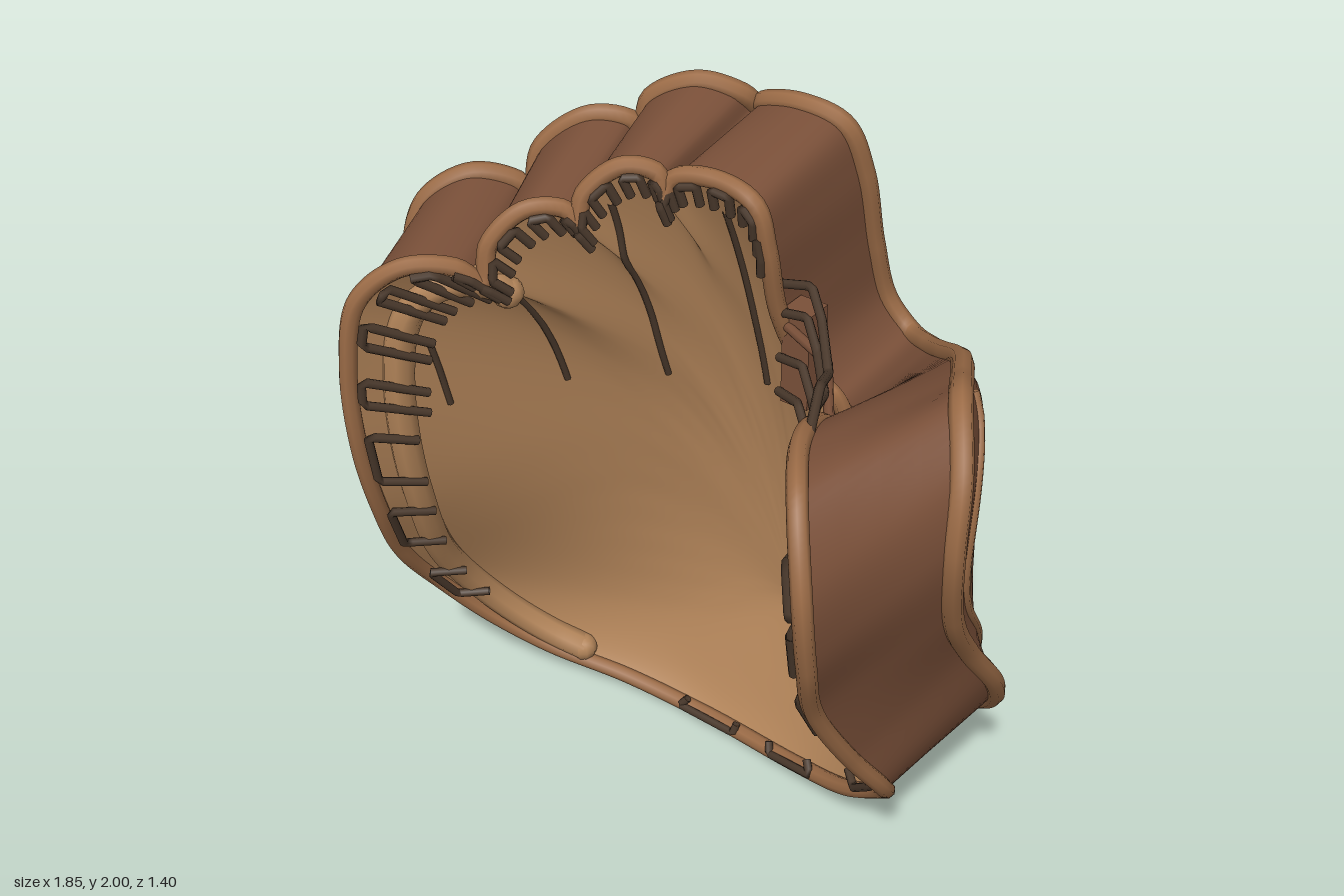
import * as THREE from 'three';

const mat = (color) => new THREE.MeshStandardMaterial({ color, side: THREE.DoubleSide });
const V = (x, y, z) => new THREE.Vector3(x, y, z);
const toCurve = (pts, closed = false) =>
  new THREE.CatmullRomCurve3(pts.map((p) => V(...p)), closed, 'centripetal');

// Matching rim points, clockwise from the heel: little finger, fingertips, crotch, thumb
const PALM_RIM = [
  [-.1, .03, -.13], [-.38, .06, -.1], [-.6, .13, -.01], [-.74, .25, .09], [-.81, .42, .21],
  [-.79, .65, .37], [-.73, .9, .49], [-.7, 1.15, .56], [-.68, 1.4, .58], [-.64, 1.6, .56],
  [-.55, 1.69, .49], [-.46, 1.68, .4], [-.42, 1.63, .35], [-.41, 1.73, .33], [-.35, 1.81, .26],
  [-.28, 1.8, .19], [-.26, 1.76, .18], [-.25, 1.84, .16], [-.18, 1.91, .1], [-.11, 1.89, .05],
  [-.1, 1.83, .05], [-.08, 1.88, .03], [.03, 1.9, .01], [.14, 1.87, .01], [.165, 1.75, -.01],
  [.16, 1.55, -.07], [.18, 1.36, -.16], [.25, 1.27, -.2], [.36, 1.31, -.08], [.45, 1.42, .1],
  [.5, 1.55, .28], [.57, 1.61, .45], [.66, 1.59, .59], [.73, 1.42, .67], [.73, 1.2, .64],
  [.68, .95, .52], [.69, .7, .37], [.71, .5, .23], [.64, .34, .1], [.48, .19, .02], [.25, .08, -.07],
];
const BACK_RIM = [
  [-.1, .03, -.54], [-.4, .08, -.5], [-.65, .17, -.39], [-.81, .33, -.28], [-.89, .52, -.18],
  [-.9, .7, -.08], [-.86, .98, .04], [-.84, 1.25, .13], [-.82, 1.5, .19], [-.78, 1.66, .16],
  [-.69, 1.73, .08], [-.61, 1.7, 0], [-.585, 1.66, -.03], [-.57, 1.78, -.06], [-.47, 1.87, -.13],
  [-.39, 1.86, -.19], [-.37, 1.82, -.22], [-.35, 1.91, -.23], [-.24, 1.97, -.28], [-.15, 1.94, -.34],
  [-.13, 1.89, -.39], [-.1, 1.92, -.37], [.02, 1.95, -.36], [.13, 1.92, -.38], [.165, 1.78, -.43],
  [.165, 1.55, -.5], [.18, 1.36, -.56], [.25, 1.28, -.57], [.36, 1.32, -.48], [.47, 1.4, -.36],
  [.6, 1.51, -.2], [.7, 1.59, -.02], [.79, 1.65, .15], [.87, 1.55, .27], [.89, 1.38, .31],
  [.86, 1.13, .23], [.82, .88, .05], [.81, .65, -.13], [.73, .42, -.3], [.58, .25, -.42], [.35, .11, -.51],
];
const N = PALM_RIM.length;
const palmRim = toCurve(PALM_RIM, true);
const backRim = toCurve(BACK_RIM, true);
const rimAt = (curve, u) => curve.getPoint((((u % N) + N) % N) / N);

// Rim averaged over its neighbours, so finger scallops fade towards the middle
function softRim(curve, u, t, spread) {
  const sum = V(0, 0, 0);
  for (let k = -2; k <= 2; k++) sum.add(rimAt(curve, u + k * spread * (1 - t)));
  return sum.divideScalar(5);
}

// Palm: a bowl spreading from a deep pocket to its rim (u along the rim, t outwards)
const POCKET = V(.08, .45, -.31);
function palmAt(u, t, lift = 0) {
  const r = softRim(palmRim, u, t, 2.4);
  const p = V(
    POCKET.x + (r.x - POCKET.x) * t,
    POCKET.y + (r.y - POCKET.y) * t,
    POCKET.z + (r.z - POCKET.z) * Math.pow(t, 2.4),
  );
  // lift raises the point off the leather, into the bowl
  return p.add(V(-p.x * lift, 0, .7 * lift));
}

// Oval hand opening, wrapped round the curve of the back
const HOLE = V(.01, .4, 0);
function holeAt(a) {
  const tilt = .26, cx = .35 * Math.cos(a - tilt), cy = .185 * Math.sin(a - tilt);
  const x = cx * Math.cos(tilt) - cy * Math.sin(tilt);
  const y = cx * Math.sin(tilt) + cy * Math.cos(tilt);
  return V(HOLE.x + x, HOLE.y + y, -.635 + .95 * x * x - .08 * x - .2 * y);
}

// Back: spreads from the hand opening to its own rim
function backAt(u, t) {
  const r = softRim(backRim, u, t, 2.8);
  const a = Math.atan2(r.y - HOLE.y, r.x - HOLE.x);
  const h = holeAt(a);
  const power = 1.6 + 2.4 * Math.pow(Math.max(0, Math.sin(a)), 6);
  return V(
    h.x + (r.x - h.x) * t,
    h.y + (r.y - h.y) * t,
    h.z + (r.z - h.z) * Math.pow(t, power),
  );
}

// Smooth sheet from a rule giving a point for (u, t)
function sheet(fn, u0, u1, nu, nt) {
  const pos = [], idx = [];
  for (let i = 0; i <= nu; i++) {
    for (let j = 0; j <= nt; j++) {
      pos.push(...fn(u0 + ((u1 - u0) * i) / nu, j / nt).toArray());
      if (i < nu && j < nt) {
        const a = i * (nt + 1) + j, b = a + nt + 1;
        idx.push(a, b, a + 1, b, b + 1, a + 1);
      }
    }
  }
  const g = new THREE.BufferGeometry();
  g.setAttribute('position', new THREE.Float32BufferAttribute(pos, 3));
  g.setIndex(idx);
  g.computeVertexNormals();
  return g;
}

export function createModel() {
  const group = new THREE.Group();
  const leather = mat(0x7a5039), palmLeather = mat(0xb28459), trim = mat(0x9c6c47), laceMat = mat(0x4a392c);

  const add = (name, geometry, material, parent = group) => {
    const m = new THREE.Mesh(geometry, material);
    m.name = name;
    parent.add(m);
    return m;
  };
  const subgroup = (name) => {
    const g = new THREE.Group();
    g.name = name;
    group.add(g);
    return g;
  };
  const tube = (name, curve, r, material, segs, parent, closed = false) =>
    add(name, new THREE.TubeGeometry(curve, segs, r, 8, closed), material, parent);
  // Cord with straight runs between its points
  const cord = (name, pts, r, parent, material = laceMat) =>
    tube(name, new THREE.CatmullRomCurve3(pts, false, 'catmullrom', 0), r, material, (pts.length - 1) * 6, parent);

  // Leather sheets; the side wall leaves the heel open for the wrist
  const palm = add('palm', sheet(palmAt, 0, N, N * 6, 24), palmLeather);
  const back = add('back', sheet(backAt, 0, N, N * 6, 24), leather);
  add('sideWall', sheet((u, t) => rimAt(palmRim, u).lerp(rimAt(backRim, u), t), 1.4, N - 1.2, N * 6, 4), leather);

  // Piping
  tube('backPiping', backRim, .028, trim, 420, group, true);
  tube('palmPiping', palmRim, .024, trim, 420, group, true);
  const ring = [];
  for (let i = 0; i < 32; i++) ring.push(holeAt((i / 32) * Math.PI * 2).toArray());
  tube('handOpeningPiping', toCurve(ring, true), .03, trim, 96, group, true);

  // Drapes a path given in x and y onto a sheet
  const ray = new THREE.Raycaster();
  const drape = (mesh, pts, dir) => {
    const flat = toCurve(pts.map(([x, y]) => [x, y, 0]));
    const out = [];
    for (const p of flat.getSpacedPoints(18)) {
      ray.set(V(p.x, p.y, -3 * dir), V(0, 0, dir));
      const hit = ray.intersectObject(mesh)[0];
      if (hit) out.push(hit.point.toArray());
    }
    return toCurve(out);
  };

  // Padded rolls just inside the palm rim
  const roll = (name, curve, r) => {
    tube(name, curve, r, palmLeather, 90);
    [0, 1].forEach((k) =>
      add(name + 'End', new THREE.SphereGeometry(r, 10, 8), palmLeather).position.copy(curve.getPoint(k)));
  };
  const rollPath = [];
  for (let i = 0; i <= 20; i++) rollPath.push(palmAt(1.8 + i * .485, .94, .01).toArray());
  roll('littleFingerRoll', toCurve(rollPath), .042);
  roll('thumbRoll', drape(palm, [[.54, 1.54], [.565, 1.3], [.55, 1], [.57, .7], [.59, .44]], -1), .048);

  // Raised welts on the finger backs and the thumb: top x, top y, bottom x, bottom y
  const welts = subgroup('welts');
  [
    [.1, 1.8, .2, .78], [-.06, 1.84, .03, .72], [-.2, 1.86, -.12, .7], [-.33, 1.82, -.27, .7],
    [-.45, 1.76, -.4, .72], [-.57, 1.62, -.52, .74], [-.67, 1.62, -.64, .78], [-.77, 1.5, -.77, .82],
  ].forEach(([x0, y0, x1, y1]) =>
    tube('fingerWelt', drape(back, [[x0, y0], [(x0 + x1) / 2 - .01, (y0 + y1) / 2], [x1, y1]], 1), .014, trim, 40, welts));
  tube('thumbWelt', drape(back, [[.72, 1.55], [.785, 1.38], [.79, 1.13], [.755, .88], [.66, .54]], 1), .014, trim, 40, welts);

  // Dark seams between the fingers of the palm
  const seams = subgroup('palmSeams');
  [[-.59, 1.42], [-.42, 1.62], [-.22, 1.8], [.02, 1.79]].forEach(([x, top]) =>
    tube('palmSeam', drape(palm, [[x, top], [x, (top + 1.2) / 2], [x, 1.2]], -1), .009, laceMat, 30, seams));

  // Lacing hooked over the palm rim: long staples low down, short ones on the fingertips
  const lacing = subgroup('rimLacing');
  const staple = (u, du, t) => cord('lace', [
    palmAt(u - du, t, .06), palmAt(u - du, .985, .04),
    palmAt(u + du, .985, .04), palmAt(u + du, t, .06),
  ], .012, lacing);
  [0, 4.2, 5.7, 6.9, 33, 33.9, 35.2, 38.2, 39.9].forEach((u) => staple(u, .33, .92));
  for (let u = 7.8; u < 24; u += .8) staple(u, u < 10 ? .15 : .22, u < 11 ? .9 : .95);

  // Web: small tab on the forefinger, cross strap and zigzag laces to the thumb
  const web = subgroup('web');
  const tab = add('webTab', new THREE.BoxGeometry(.08, .27, .08), leather, web);
  tab.position.set(.205, 1.42, -.12);
  cord('webStrap', [V(.18, 1.51, -.08), V(.35, 1.51, 0), V(.5, 1.5, .22)], .013, web, leather);
  [[1.63, 1.6], [1.55, 1.55], [1.42, 1.45], [1.32, 1.36]].forEach(([y0, y1], i) => {
    const k = i * .015;
    cord('webLace', [
      V(.165, y0, -.07), V(.26, y0 + .03, -.06 + k), V(.33, y0 - .01, 0 + k),
      V(.43, y1 - .03, .12 + k), V(.49, y1 + .03, .25 + k), V(.55, y1, .38 + k),
    ], .012, web);
  });
  return group;
}
